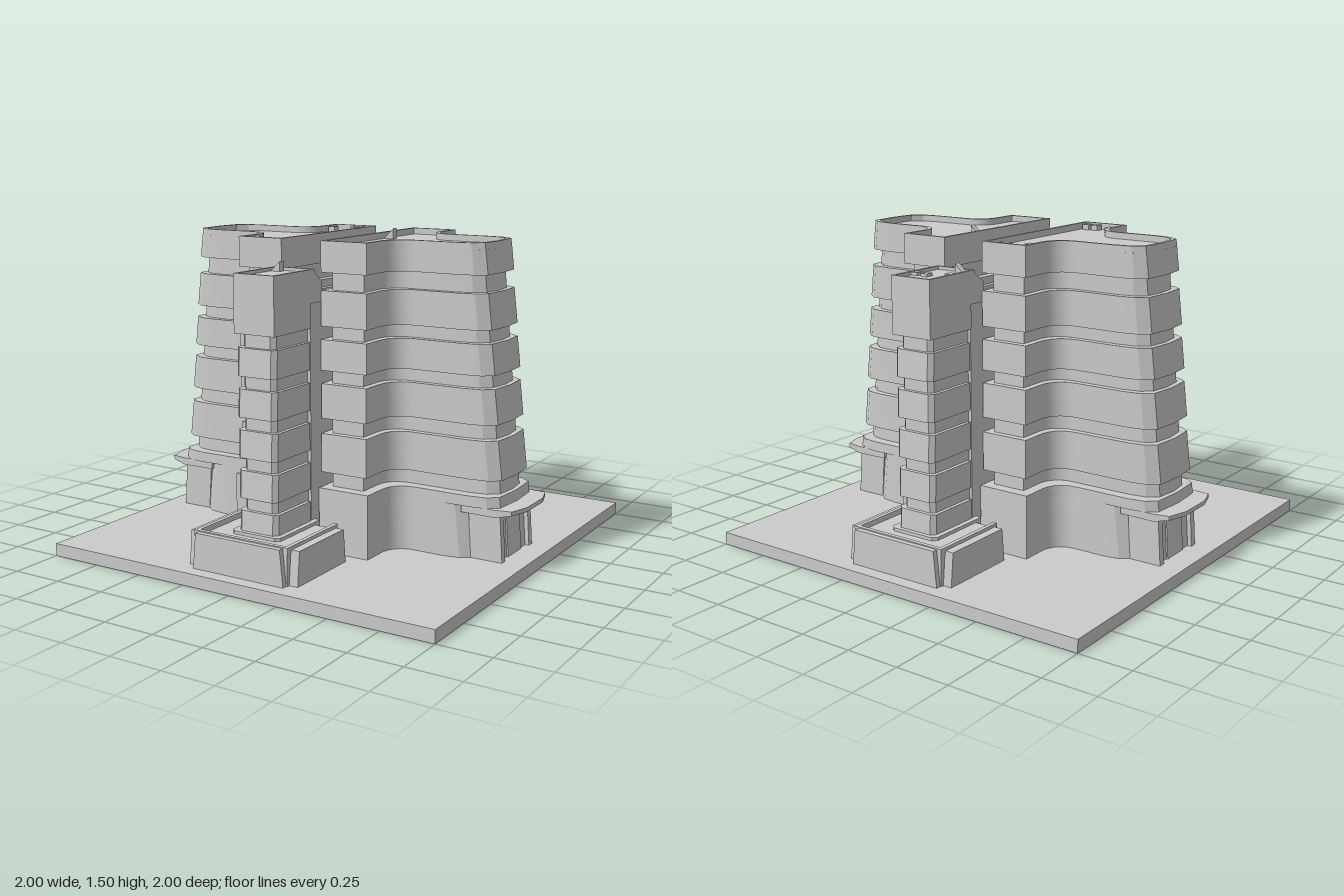
import * as THREE from 'three';
import { toCreasedNormals } from 'three/addons/utils/BufferGeometryUtils.js';

const mat = new THREE.MeshStandardMaterial({ color: 0xcccccc });
const openMat = new THREE.MeshStandardMaterial({ color: 0xcccccc, side: THREE.DoubleSide });
const SLOPE = 0.12; // inward lean of the wing ends

function add(parent, name, geo) {
  const m = new THREE.Mesh(geo, mat);
  m.name = name;
  parent.add(m);
  return m;
}

function box(parent, name, x0, x1, y0, y1, z0, z1) {
  const g = new THREE.BoxGeometry(x1 - x0, y1 - y0, z1 - z0);
  g.translate((x0 + x1) / 2, (y0 + y1) / 2, (z0 + z1) / 2);
  return add(parent, name, g);
}

// Extrude a plan (x, z) upwards between two heights
function slab(parent, name, shape, y0, y1, rule) {
  const g = new THREE.ExtrudeGeometry(shape, { depth: y1 - y0, bevelEnabled: false, curveSegments: 8 });
  g.rotateX(-Math.PI / 2).translate(0, y0, 0);
  if (rule) {
    const p = g.attributes.position, v = new THREE.Vector3();
    for (let i = 0; i < p.count; i++) {
      rule(v.fromBufferAttribute(p, i));
      p.setXYZ(i, v.x, v.y, v.z);
    }
  }
  return add(parent, name, toCreasedNormals(g, 0.45));
}

const poly = pts => new THREE.Shape(pts.map(p => new THREE.Vector2(...p)));

// Wing plan: wide lobe by the spine, concave sweep, arm with a chamfered end
function wingPlan(inner, end, d = 0) {
  const s = new THREE.Shape();
  const L = 0.34 + d, Z = 0.42 + d, A = 0.185 + d;
  s.moveTo(inner, -Z);
  s.lineTo(L, -Z);
  s.lineTo(L, -A - 0.11);
  s.bezierCurveTo(L, -A - 0.045, L + 0.045, -A, L + 0.11, -A);
  s.lineTo(end - 0.14, -A);
  s.lineTo(end - 0.06, -A + 0.012);
  s.lineTo(end - 0.012, -A + 0.05);
  s.lineTo(end, 0);
  s.lineTo(end - 0.012, A - 0.05);
  s.lineTo(end - 0.06, A - 0.012);
  s.lineTo(end - 0.14, A);
  s.lineTo(L + 0.11, A);
  s.bezierCurveTo(L + 0.045, A, L, A + 0.045, L, A + 0.11);
  s.lineTo(L, Z);
  s.lineTo(inner, Z);
  s.closePath();
  return s;
}

const endAt = y => 0.925 - 0.097 * y;

function wing() {
  const g = new THREE.Group();
  const lean = y0 => v => { if (v.x > 0.6) v.x -= SLOPE * (v.y - y0); };
  // Ground floor, ledge and recessed core
  slab(g, 'groundFloorWall', wingPlan(0.105, 0.76, 0.022), 0.06, 0.31, lean(0.06));
  slab(g, 'ledge', wingPlan(0.105, 0.89, 0.022), 0.31, 0.36, lean(0.31));
  slab(g, 'recessedCore', wingPlan(0.145, 0.863, -0.032), 0.36, 1.4, v => { if (v.x > 0.6) v.x -= 0.097 * (v.y - 0.36); });
  // Balcony bands
  for (const [y0, y1] of [[0.43, 0.61], [0.68, 0.84], [0.9, 1.04], [1.1, 1.26]])
    slab(g, 'balconyBand', wingPlan(0.105, endAt(y0)), y0, y1, lean(y0));
  // Roof floor and parapet
  slab(g, 'roof', wingPlan(0.105, endAt(1.34)), 1.34, 1.45, lean(1.34));
  const rim = wingPlan(0.105, endAt(1.45) - 0.003);
  rim.holes.push(wingPlan(0.12, endAt(1.45) - 0.018, -0.015));
  slab(g, 'parapet', rim, 1.45, 1.48, lean(1.45));
  // Entrance bay: leaning portal with an inset door
  const tilt = v => { v.x -= 0.07 * (v.y - 0.06); };
  const rect = (x0, x1, z) => poly([[x0, -z], [x1, -z], [x1, z], [x0, z]]);
  slab(g, 'entranceBay', rect(0.65, 0.875, 0.15), 0.06, 0.29, tilt);
  slab(g, 'portalLintel', rect(0.86, 0.895, 0.165), 0.25, 0.29, tilt);
  for (const s of [-1, 1]) {
    const a = Math.min(s * 0.165, s * 0.13), b = Math.max(s * 0.165, s * 0.13);
    slab(g, 'portalJamb', poly([[0.74, a], [0.895, a], [0.895, b], [0.74, b]]), 0.06, 0.27, tilt);
  }
  slab(g, 'door', rect(0.86, 0.882, 0.07), 0.06, 0.25, tilt);
  // Canopy, thinning and rising towards its outer edge
  const canopy = poly([[0.7, -0.19], [0.87, -0.195], [0.945, -0.185], [0.975, -0.09],
    [0.975, 0.09], [0.945, 0.185], [0.87, 0.195], [0.7, 0.19]]);
  slab(g, 'canopy', canopy, 0.275, 0.31, v => {
    if (v.x > 0.9) v.y = v.y < 0.29 ? 0.292 : 0.312;
  });
  return g;
}

// Tower plan with chamfered outer corners, facing +z (shape y is -z)
const towerPlan = (w, z0, z1, c) =>
  poly([[-w, -z0], [-w, -z1 + c], [-w + c, -z1], [w - c, -z1], [w, -z1 + c], [w, -z0]]);

function tower() {
  const g = new THREE.Group();
  slab(g, 'shaft', towerPlan(0.085, 0.46, 0.76, 0.02), 0.06, 1.15);
  for (let i = 0; i < 5; i++) {
    const y1 = 1.04 - 0.182 * i;
    slab(g, 'towerBand', towerPlan(0.103, 0.51, 0.785, 0.02), y1 - 0.125, y1, v => {
      if (v.z > 0.7) v.z -= 0.05 * (v.y - y1 + 0.125);
    });
  }
  // Head with a sloping neck towards the spine
  const side = poly([[-0.785, 1.1], [-0.5, 1.1], [-0.5, 1.21], [-0.41, 1.21], [-0.41, 1.3], [-0.47, 1.345], [-0.785, 1.345]]);
  const head = new THREE.ExtrudeGeometry(side, { depth: 0.21, bevelEnabled: false });
  head.translate(0, 0, -0.105).rotateY(Math.PI / 2);
  add(g, 'towerHead', head);
  for (const s of [-1, 1]) box(g, 'towerParapet', s * 0.098 - 0.007, s * 0.098 + 0.007, 1.34, 1.36, 0.47, 0.785);
  box(g, 'towerParapet', -0.095, 0.095, 1.34, 1.36, 0.771, 0.785);
  box(g, 'towerParapet', -0.095, 0.095, 1.34, 1.36, 0.47, 0.482);
  // Hood on the spine with battered faces
  const hood = poly([[-0.065, -0.42], [-0.065, -0.36], [-0.035, -0.33], [0.035, -0.33], [0.065, -0.36], [0.065, -0.42]]);
  slab(g, 'hood', hood, 1.2, 1.29, v => { if (v.y > 1.25 && v.z < 0.4) v.z += 0.025; });

  // Podium with a sunken roof, a tower plinth and framing panels
  box(g, 'podium', -0.245, 0.245, 0.06, 0.205, 0.51, 0.91);
  slab(g, 'towerPlinth', towerPlan(0.128, 0.47, 0.805, 0.02), 0.06, 0.22);
  for (const s of [-1, 1]) {
    box(g, 'podiumRim', s * 0.237 - 0.01, s * 0.237 + 0.01, 0.2, 0.23, 0.51, 0.91);
    const side = [[s * 0.24, -0.51], [s * 0.288, -0.51], [s * 0.288, -0.895], [s * 0.24, -0.895]];
    slab(g, 'podiumSidePanel', poly(side), 0.06, 0.215, v => {
      v.z -= Math.sign(v.z - 0.7) * 0.1 * (v.y - 0.06);
    });
  }
  box(g, 'podiumRim', -0.245, 0.245, 0.2, 0.23, 0.89, 0.91);
  const front = [[-0.24, -0.9], [-0.24, -0.935], [0.24, -0.935], [0.24, -0.9]];
  slab(g, 'podiumFrontPanel', poly(front), 0.06, 0.225, v => {
    v.x -= Math.sign(v.x) * 0.1 * (v.y - 0.06);
  });
  return g;
}

// Wedge-shaped roof vent
function vent(parent, x, y, z, h) {
  const g = new THREE.ExtrudeGeometry(poly([[-0.025, 0], [0.025, 0], [0.025, h]]), { depth: 0.03, bevelEnabled: false });
  g.translate(x, y, z - 0.015);
  add(parent, 'roofVent', g);
}

export function createModel() {
  const model = new THREE.Group();
  model.name = 'building';

  // Ground plate: a shallow tray, open underneath (the box's bottom face is dropped)
  const plate = box(model, 'groundPlate', -1, 1, 0, 0.06, -1, 1);
  const faces = [...plate.geometry.index.array];
  faces.splice(18, 6);
  plate.geometry.setIndex(faces);
  plate.geometry.clearGroups();
  plate.material = openMat;

  // Two wings and two end towers, each turned half round
  for (const [i, a] of [0, Math.PI].entries()) {
    const w = wing(), t = tower();
    w.name = i ? 'rightWing' : 'leftWing';
    t.name = i ? 'backTower' : 'frontTower';
    w.rotation.y = t.rotation.y = a;
    model.add(w, t);
  }

  // Central spine with low edge kerbs
  box(model, 'spine', -0.1, 0.1, 0.06, 1.21, -0.5, 0.5);
  for (const s of [-1, 1]) box(model, 'spineKerb', s * 0.086 - 0.014, s * 0.086 + 0.014, 1.2, 1.225, -0.41, 0.41);

  // Roof hatches and vents
  for (const s of [-1, 1]) {
    for (const [x, z] of [[-0.3, 0.33], [-0.2, 0.37], [-0.15, 0.37]])
      box(model, 'roofHatch', x - 0.017, x + 0.017, 1.45, 1.475, s * z - 0.02, s * z + 0.02);
    vent(model, -0.065, 1.345, s * 0.515, 0.045);
  }
  for (const [x, z] of [[-0.07, -0.6], [0.02, -0.65], [0.075, -0.65]])
    box(model, 'towerHatch', x - 0.017, x + 0.017, 1.345, 1.358, z - 0.02, z + 0.02);
  vent(model, 0.145, 1.45, -0.125, 0.05);
  return model;
}
